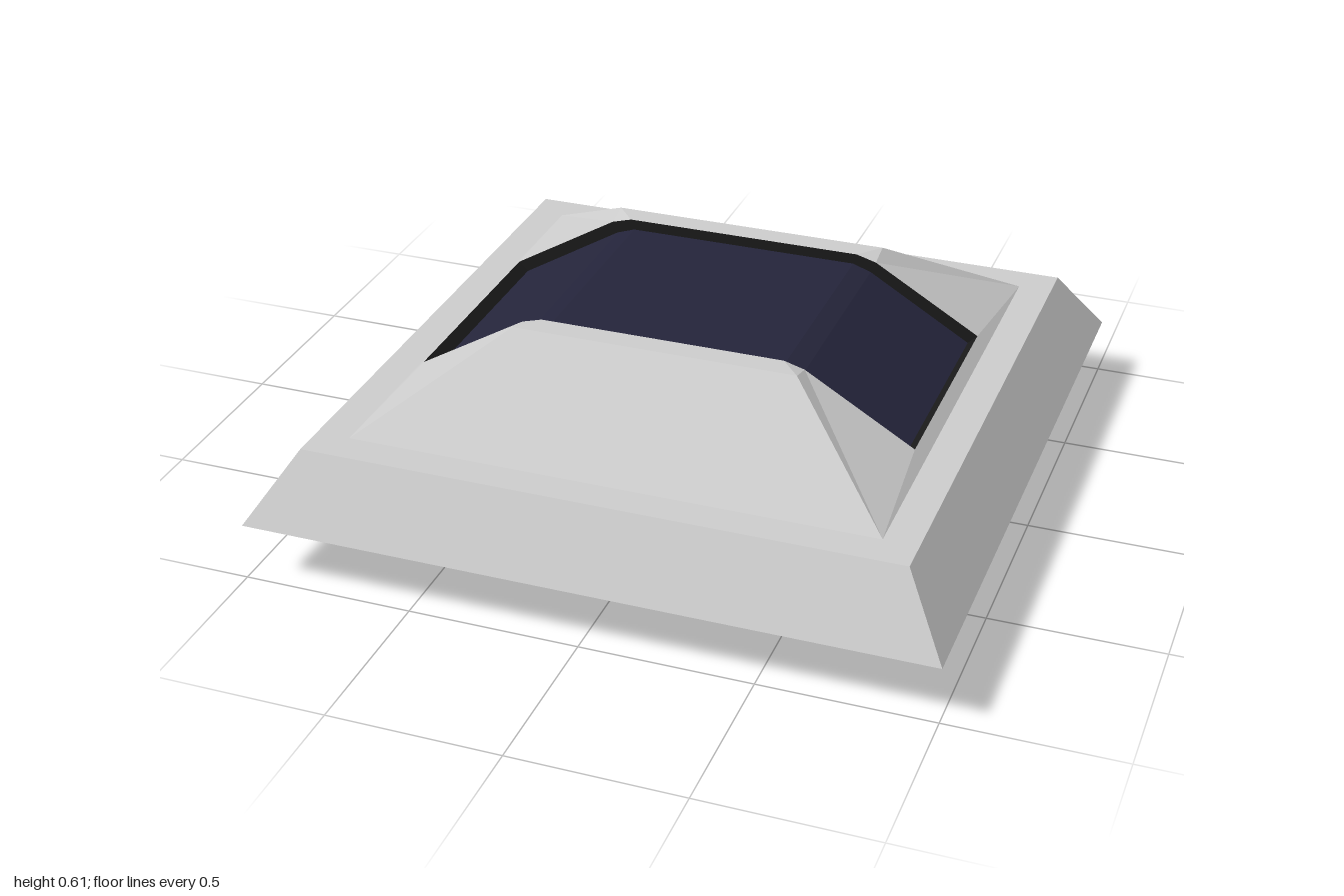
import * as THREE from 'three';

const material = (color) => new THREE.MeshStandardMaterial({ color, flatShading: true, side: THREE.DoubleSide });
const grey = material(0xcccccc);
const blue = material(0x1048b4);
const navy = material(0x24243a);
const black = material(0x1a1a1a);

// Square solid: profile of [half width, y] swept around four sides
function squareSolid(name, profile, mat) {
  const points = profile.map(([h, y]) => new THREE.Vector2(h * Math.SQRT2, y));
  const geometry = new THREE.LatheGeometry(points, 4, Math.PI / 4).toNonIndexed();
  geometry.computeVertexNormals();
  const mesh = new THREE.Mesh(geometry, mat);
  mesh.name = name;
  return mesh;
}

// Flat-faced shell from convex polygons, each face reversed if it points inward
function shell(name, polygons, mat) {
  const center = new THREE.Vector3(0, 0.2, 0);
  const out = [];
  for (const poly of polygons) {
    const v = poly.map((p) => new THREE.Vector3(...p));
    for (let i = 1; i < v.length - 1; i++) {
      let [a, b, c] = [v[0], v[i], v[i + 1]];
      const n = b.clone().sub(a).cross(c.clone().sub(a));
      if (n.dot(a.clone().sub(center)) < 0) [b, c] = [c, b];
      out.push(...a.toArray(), ...b.toArray(), ...c.toArray());
    }
  }
  const geometry = new THREE.BufferGeometry();
  geometry.setAttribute('position', new THREE.Float32BufferAttribute(out, 3));
  geometry.computeVertexNormals();
  const mesh = new THREE.Mesh(geometry, mat);
  mesh.name = name;
  return mesh;
}

export function createModel() {
  const group = new THREE.Group();

  // Sloped base plate
  group.add(squareSolid('basePlate', [[0, 0.17], [1, 0.17], [0.87, 0.37], [0, 0.37]], grey));

  // Window band: outer rim profile and the sunken pane profile, as [x, y]
  const w = 0.35;
  const mirror = (half) => [...half.map(([x, y]) => [-x, y]), ...[...half].reverse()];
  const rim = mirror([[0.74, 0.4], [0.42, 0.59], [0.36, 0.607]]);
  const pane = mirror([[0.712, 0.372], [0.405, 0.556], [0.35, 0.575]]);

  // Canopy: truncated pyramid whose sides bend in towards the window
  const canopy = [];
  for (const s of [1, -1]) {
    canopy.push([[-0.77, 0.37, s * 0.77], [0.77, 0.37, s * 0.77], [0.42, 0.607, s * 0.42], [-0.42, 0.607, s * 0.42]]);
    canopy.push([[-0.42, 0.607, s * 0.42], [0.42, 0.607, s * 0.42], [0.36, 0.607, s * w], [-0.36, 0.607, s * w]]);
    // Low strip below the window end
    canopy.push([[s * 0.77, 0.37, 0.77], [s * 0.77, 0.37, -0.77], [s * 0.74, 0.4, -w], [s * 0.74, 0.4, w]]);
    for (const t of [1, -1]) {
      const top = [s * 0.42, 0.607, t * 0.42];
      const bend = [s * 0.42, 0.59, t * w];
      canopy.push([[s * 0.77, 0.37, t * 0.77], top, bend, [s * 0.74, 0.4, t * w]]);
      canopy.push([top, [s * 0.36, 0.607, t * w], bend]);
    }
  }
  group.add(shell('canopy', canopy, grey));

  // Dark pane and the black walls around it
  const glass = [];
  const walls = [];
  for (let i = 0; i < pane.length - 1; i++) {
    const [a, b, c, d] = [pane[i], pane[i + 1], rim[i + 1], rim[i]];
    glass.push([[...a, w], [...b, w], [...b, -w], [...a, -w]]);
    for (const z of [w, -w]) walls.push([a, b, c, d].map((p) => [...p, z]));
  }
  for (const i of [0, pane.length - 1]) {
    walls.push([[...pane[i], w], [...rim[i], w], [...rim[i], -w], [...pane[i], -w]]);
  }
  group.add(shell('windowPane', glass, navy));
  group.add(shell('windowWalls', walls, black));

  // Square connector below, with a hollow underside
  group.add(squareSolid('connector',
    [[0, 0.05], [0.155, 0.05], [0.165, 0], [0.205, 0], [0.24, 0.02], [0.24, 0.17]], blue));

  // Four small pegs inside the connector
  for (const x of [-0.06, 0.06]) {
    for (const z of [-0.06, 0.06]) {
      const peg = new THREE.Mesh(new THREE.CylinderGeometry(0.022, 0.022, 0.03, 12), blue);
      peg.position.set(x, 0.036, z);
      peg.name = 'connectorPeg';
      group.add(peg);
    }
  }
  return group;
}
